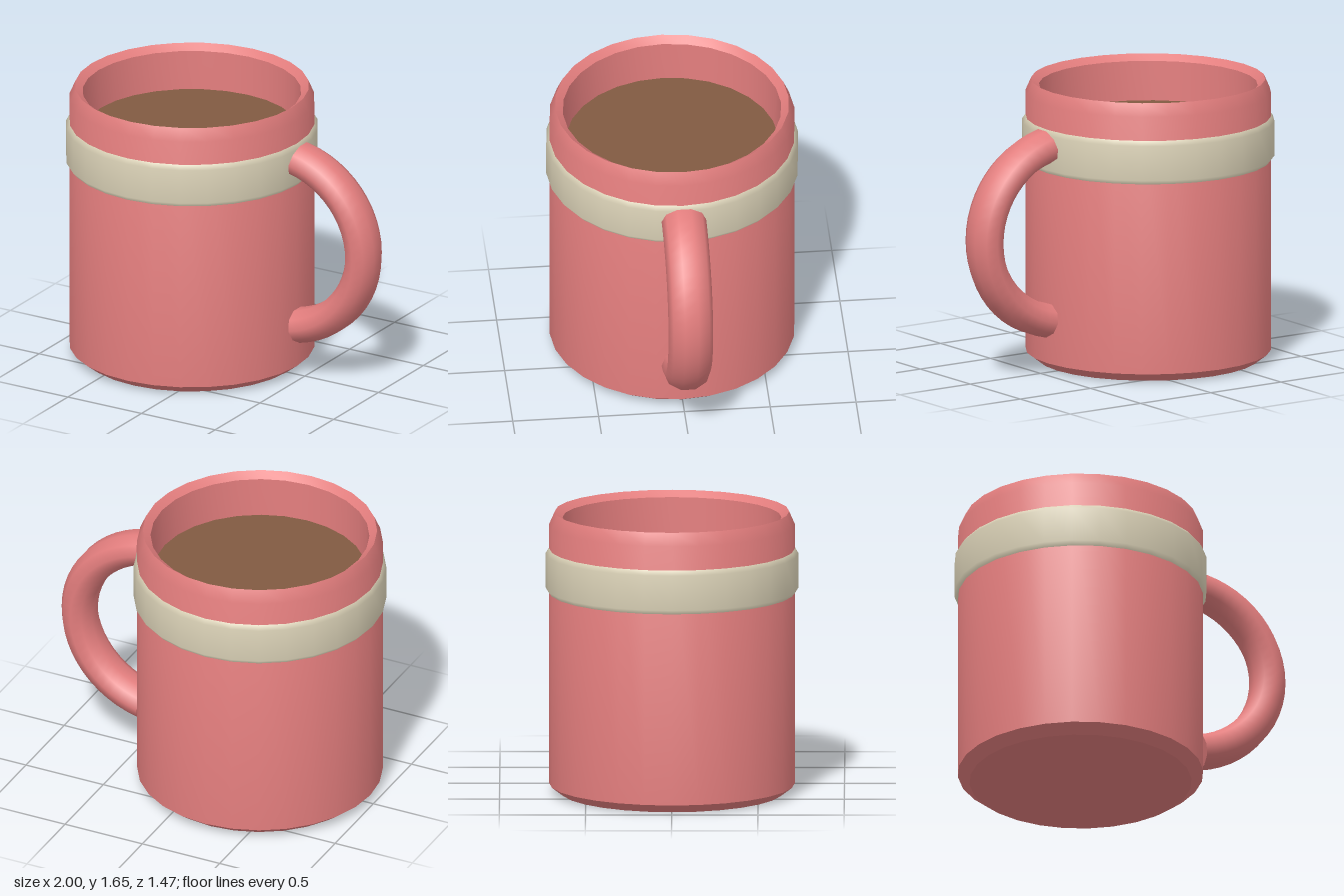
import * as THREE from 'three';
import { toCreasedNormals } from 'three/addons/utils/BufferGeometryUtils.js';

const SIDES = 28;
const CUP_X = -0.267;

const clay = new THREE.MeshStandardMaterial({ color: 0xe27d7d });
clay.name = 'pink clay';
const cream = new THREE.MeshStandardMaterial({ color: 0xdcd3b8 });
cream.name = 'cream glaze';
const coffee = new THREE.MeshStandardMaterial({ color: 0x815a42 });
coffee.name = 'coffee brown';

function addMesh(parent, name, geometry, material) {
  const mesh = new THREE.Mesh(geometry, material);
  mesh.name = name;
  parent.add(mesh);
  return mesh;
}

const lathe = (profile) =>
  new THREE.LatheGeometry(profile.map(([r, y]) => new THREE.Vector2(r, y)), SIDES);

// Half-ring handle with a wide oval section and flat ends
function createHandle() {
  const handle = new THREE.Group();
  handle.name = 'handle';
  const cx = 0.346, cy = 0.83, R = 0.53, stretch = 1.043, r = 0.1025, sweep = 1.348;
  const widen = 0.13 / r;

  const path = new THREE.Curve();
  path.getPoint = (t, target = new THREE.Vector3()) => {
    const a = (2 * t - 1) * sweep;
    return target.set(cx + R * stretch * Math.cos(a), cy + R * Math.sin(a), 0);
  };
  const grip = new THREE.TubeGeometry(path, 24, r, 10, false);
  grip.scale(1, 1, widen);
  addMesh(handle, 'handleGrip', grip, clay);

  for (const t of [0, 1]) {
    const cap = new THREE.CircleGeometry(r, 10);
    const out = path.getTangent(t).multiplyScalar(t ? 1 : -1);
    const side = new THREE.Vector3(0, 0, 1);
    const up = new THREE.Vector3().crossVectors(out, side);
    cap.applyMatrix4(new THREE.Matrix4().makeBasis(side, up, out).setPosition(path.getPoint(t)));
    cap.scale(1, 1, widen);
    addMesh(handle, t ? 'upperHandleEnd' : 'lowerHandleEnd', cap, clay);
  }
  return handle;
}

export function createModel() {
  const mug = new THREE.Group();
  mug.name = 'mug';

  const cup = new THREE.Group();
  cup.name = 'cup';
  cup.position.x = CUP_X;
  mug.add(cup);

  // Hollow cup: base, bevelled foot, wall, sloping rim, inner wall and floor
  const body = lathe([
    [0, 0], [0.645, 0], [0.713, 0.052], [0.713, 1.58], [0.68, 1.655],
    [0.635, 1.62], [0.627, 1.37], [0.6, 0.12], [0, 0.12],
  ]);
  addMesh(cup, 'body', toCreasedNormals(body, 0.6), clay);

  // Softly rounded band around the wall
  addMesh(cup, 'band', lathe([
    [0.705, 1.17], [0.733, 1.205], [0.733, 1.41], [0.71, 1.442],
  ]), cream);

  // Drink surface
  const drink = addMesh(cup, 'drink', new THREE.CircleGeometry(0.617, SIDES), coffee);
  drink.rotation.x = -Math.PI / 2;
  drink.position.y = 1.39;

  mug.add(createHandle());
  return mug;
}
